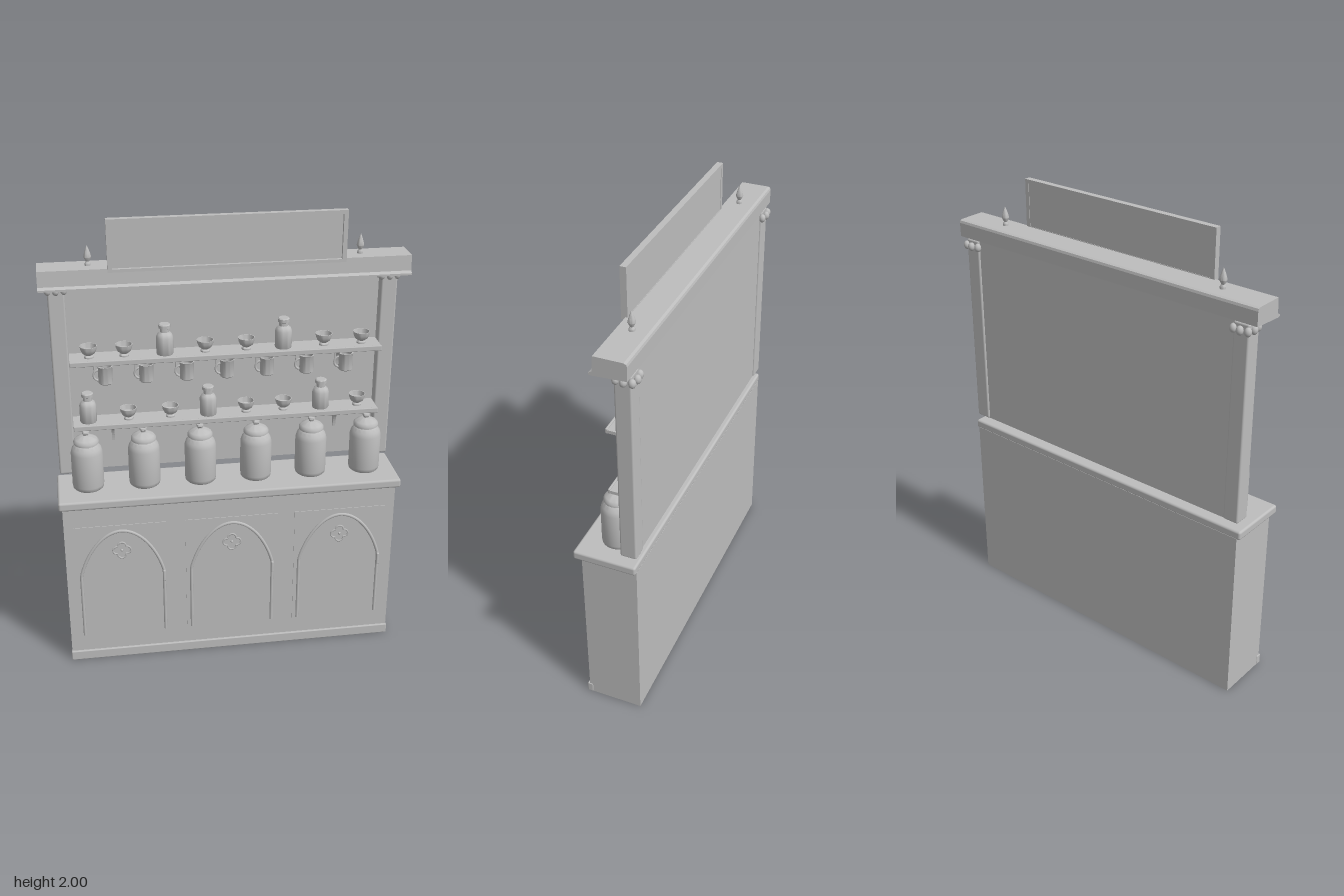
import * as THREE from 'three';
import { RoundedBoxGeometry } from 'three/addons/geometries/RoundedBoxGeometry.js';
import { toCreasedNormals } from 'three/addons/utils/BufferGeometryUtils.js';

const clay = new THREE.MeshStandardMaterial({ color: 0xbdbdbd, side: THREE.DoubleSide });
clay.name = 'plain grey';

export function createModel() {
  const model = new THREE.Group();
  model.name = 'dresser';

  function add(name, geometry, x = 0, y = 0, z = 0, parent = model) {
    const mesh = new THREE.Mesh(geometry, clay);
    mesh.name = name;
    mesh.position.set(x, y, z);
    parent.add(mesh);
    return mesh;
  }

  // Box given by its limits, with an optional eased edge
  function box(name, x0, x1, y0, y1, z0, z1, r = 0, parent = model) {
    const s = [x1 - x0, y1 - y0, z1 - z0];
    const g = r ? new RoundedBoxGeometry(...s, 2, r) : new THREE.BoxGeometry(...s);
    return add(name, g, (x0 + x1) / 2, (y0 + y1) / 2, (z0 + z1) / 2, parent);
  }

  const lathe = (points, sides = 24) => toCreasedNormals(
    new THREE.LatheGeometry(points.map(p => new THREE.Vector2(...p)), sides), 0.7);

  // Base cabinet
  box('cabinet', -0.73, 0.73, 0, 0.79, -0.125, 0.115);
  box('plinth', -0.733, 0.733, 0, 0.045, 0.1, 0.125, 0.004);
  box('countertop', -0.745, 0.745, 0.785, 0.825, -0.125, 0.147, 0.01);

  // Doors with arched moulding, quatrefoil and handle
  const arch = new THREE.CurvePath();
  const v = (x, y) => new THREE.Vector3(x, y, 0);
  arch.add(new THREE.LineCurve3(v(-0.182, 0.13), v(-0.182, 0.44)));
  arch.add(new THREE.CubicBezierCurve3(v(-0.182, 0.44), v(-0.155, 0.55), v(-0.085, 0.655), v(0, 0.657)));
  arch.add(new THREE.CubicBezierCurve3(v(0, 0.657), v(0.085, 0.655), v(0.155, 0.55), v(0.182, 0.44)));
  arch.add(new THREE.LineCurve3(v(0.182, 0.44), v(0.182, 0.13)));
  const archGeometry = new THREE.TubeGeometry(arch, 96, 0.007, 8);

  const foil = new THREE.CurvePath();
  for (let i = 0; i < 4; i++) {
    const a = i * Math.PI / 2;
    const pts = [];
    for (let j = 0; j <= 8; j++) {
      const t = a + (j / 8 - 0.5) * Math.PI * 1.1;
      pts.push(v(0.021 * Math.cos(a) + 0.018 * Math.cos(t), 0.021 * Math.sin(a) + 0.018 * Math.sin(t)));
    }
    foil.add(new THREE.CatmullRomCurve3(pts));
  }
  const foilGeometry = new THREE.TubeGeometry(foil, 80, 0.004, 6, true);

  for (const x of [-0.485, 0, 0.485]) {
    const door = new THREE.Group();
    door.name = 'door';
    door.position.x = x;
    model.add(door);
    box('doorPanel', -0.205, 0.205, 0.1, 0.685, 0.11, 0.118, 0, door);
    add('archMoulding', archGeometry, 0, 0, 0.119, door);
    add('quatrefoil', foilGeometry, 0, 0.56, 0.119, door);
    add('quatrefoilBoss', new THREE.SphereGeometry(0.006, 10, 8), 0, 0.56, 0.119, door);
    box('handle', 0.176, 0.188, 0.39, 0.445, 0.115, 0.134, 0.004, door);
  }

  // Upper frame
  box('backPanel', -0.665, 0.665, 0.86, 1.72, -0.118, -0.098);
  for (const s of [-1, 1]) {
    const post = box('post', -0.035, 0.035, 0.86, 1.72, -0.126, -0.056, 0.008);
    post.position.x = s * 0.695;

    // Ring of small leaf buds under the cornice
    const capital = new THREE.Group();
    capital.name = 'capital';
    capital.position.set(s * 0.695, 1.692, -0.096);
    model.add(capital);
    for (let i = 0; i < 8; i++) {
      const a = i * Math.PI / 4;
      const r = i % 2 ? 0.046 : 0.038;
      const bud = add('capitalBud', new THREE.SphereGeometry(0.015, 10, 8), r * Math.cos(a), 0, r * Math.sin(a), capital);
      bud.scale.y = 1.25;
    }

    // Finial
    add('finial', lathe([[0, 0], [0.012, 0], [0.012, 0.012], [0.007, 0.02], [0.016, 0.038],
      [0.012, 0.055], [0.005, 0.075], [0, 0.087]], 12), s * 0.56, 1.793, -0.055);
  }

  // Cornice: a moulded section run along x
  const section = new THREE.Shape();
  [[0.127, 1.722], [-0.012, 1.714], [-0.022, 1.716], [-0.022, 1.724], [-0.008, 1.732],
    [-0.004, 1.796], [0.115, 1.796], [0.125, 1.792], [0.128, 1.782]]
    .forEach(([x, y], i) => (i ? section.lineTo(x, y) : section.moveTo(x, y)));
  const cornice = new THREE.ExtrudeGeometry(section, { depth: 1.53, bevelEnabled: false });
  cornice.translate(0, 0, -0.765).rotateY(Math.PI / 2);
  // The rotation sends section x to -z, so the lip faces the front
  add('cornice', cornice);

  // Blank signboard with raised border
  box('signPanel', -0.48, 0.48, 1.79, 1.995, -0.002, 0.008);
  box('signTopBorder', -0.485, 0.485, 1.984, 2.0, -0.004, 0.022);
  box('signBottomBorder', -0.485, 0.485, 1.785, 1.798, -0.004, 0.022);
  for (const s of [-1, 1]) {
    box('signSideBorder', -0.009, 0.009, 1.79, 2.0, -0.004, 0.022).position.x = s * 0.476;
  }

  // Shelves with front lip and scrolled brackets
  const bracketShape = new THREE.Shape();
  bracketShape.moveTo(0, 0);
  bracketShape.lineTo(0.085, 0);
  bracketShape.lineTo(0.085, -0.014);
  bracketShape.quadraticCurveTo(0.02, -0.02, 0.014, -0.105);
  bracketShape.lineTo(0, -0.105);
  bracketShape.closePath();
  const bracket = new THREE.ExtrudeGeometry(bracketShape, { depth: 0.012, bevelEnabled: false });
  bracket.translate(0, 0, -0.006).rotateY(-Math.PI / 2);
  for (const y of [1.1, 1.39]) {
    box('shelf', -0.658, 0.658, y, y + 0.014, -0.1, 0.018);
    box('shelfLip', -0.658, 0.658, y - 0.003, y + 0.019, 0.012, 0.021, 0.003);
    for (const x of [-0.49, 0.49]) add('bracket', bracket, x, y, -0.099);
  }

  // Bowls and bottles on the shelves
  const bowl = lathe([[0, 0], [0.02, 0], [0.02, 0.006], [0.014, 0.012], [0.027, 0.022], [0.034, 0.038],
    [0.036, 0.052], [0.033, 0.052], [0.028, 0.03], [0, 0.016]]);
  const bottle = lathe([[0, 0], [0.034, 0], [0.036, 0.004], [0.036, 0.075], [0.03, 0.089], [0.019, 0.097],
    [0.019, 0.112], [0.025, 0.115], [0.025, 0.128], [0.021, 0.132], [0, 0.132]]);
  const rows = [
    { y: 1.404, bowls: [-0.577, -0.43, -0.09, 0.085, 0.418, 0.582], bottles: [-0.26, 0.243] },
    { y: 1.114, bowls: [-0.423, -0.243, 0.085, 0.249, 0.577], bottles: [-0.593, -0.08, 0.413] },
  ];
  for (const row of rows) {
    row.bowls.forEach(x => add('bowl', bowl, x, row.y, -0.043));
    row.bottles.forEach(x => add('bottle', bottle, x, row.y, -0.043));
  }

  // Mugs hung below the upper shelf
  const mugBody = lathe([[0, 0.004], [0.026, 0], [0.03, 0.004], [0.03, 0.074], [0.032, 0.078],
    [0.027, 0.078], [0.026, 0.01], [0, 0.01]]);
  const handle = new THREE.TorusGeometry(0.021, 0.0045, 8, 16, Math.PI);
  handle.rotateZ(Math.PI / 2).scale(1, 1.1, 1);
  for (let i = -3; i <= 3; i++) {
    const mug = new THREE.Group();
    mug.name = 'mug';
    mug.position.set(i * 0.171, 1.292, -0.026);
    model.add(mug);
    add('mugBody', mugBody, 0, 0, 0, mug);
    add('mugHandle', handle, -0.028, 0.037, 0, mug);
    add('mugHook', new THREE.CylinderGeometry(0.003, 0.003, 0.045, 8), -0.046, 0.078, 0, mug);
  }

  // Lidded storage jars on the countertop
  const jar = lathe([[0, 0], [0.06, 0], [0.066, 0.006], [0.068, 0.02], [0.068, 0.17], [0.062, 0.19],
    [0.052, 0.203], [0.048, 0.207], [0.048, 0.213]], 32);
  const lid = lathe([[0.048, 0.211], [0.054, 0.212], [0.054, 0.222], [0.046, 0.232], [0.024, 0.243],
    [0.011, 0.247], [0.011, 0.251], [0.016, 0.257], [0.014, 0.264], [0, 0.268]], 32);
  for (let i = 0; i < 6; i++) {
    const x = (i - 2.5) * 0.244;
    add('jar', jar, x, 0.825, 0.005);
    add('jarLid', lid, x, 0.825, 0.005);
  }

  return model;
}
